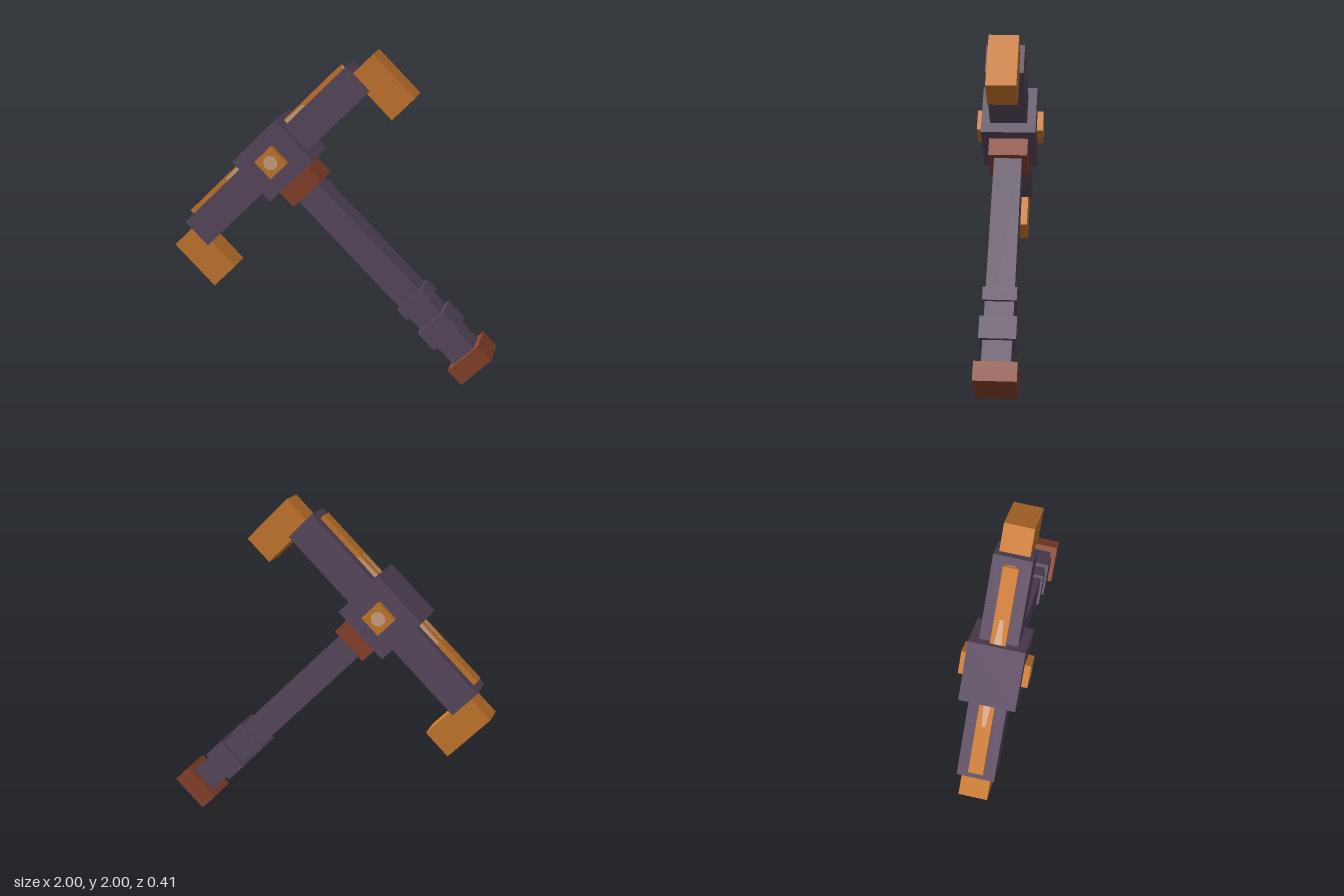
import * as THREE from 'three';

export function createModel() {
  const mat = (name, color) => {
    const m = new THREE.MeshStandardMaterial({ color });
    m.name = name;
    return m;
  };
  const purple = mat('dark purple metal', 0x5d4c62);
  const orange = mat('orange', 0xd07d2f);
  const rust = mat('rust red', 0x8d452e);
  const glow = mat('pale tan', 0xd8ab8c);

  // Hammer built upright around the head centre, then tilted 45 degrees
  const hammer = new THREE.Group();
  hammer.name = 'hammer';
  hammer.position.set(-0.342, 1.343, 0);
  hammer.rotation.z = Math.PI / 4;

  // Box given by its x range, y range and half depth
  const box = (name, material, x0, x1, y0, y1, halfZ) => {
    const mesh = new THREE.Mesh(new THREE.BoxGeometry(x1 - x0, y1 - y0, halfZ * 2), material);
    mesh.name = name;
    mesh.position.set((x0 + x1) / 2, (y0 + y1) / 2, 0);
    hammer.add(mesh);
  };

  // Thin eight-sided spot stretched to half width a and half height b
  const spot = (name, a, b, position, rotX = 0, rotY = 0) => {
    const geometry = new THREE.CircleGeometry(1 / Math.cos(Math.PI / 8), 8, Math.PI / 8);
    const mesh = new THREE.Mesh(geometry.scale(a, b, 1), glow);
    mesh.name = name;
    mesh.position.set(...position);
    mesh.rotation.set(rotX, rotY, 0);
    hammer.add(mesh);
  };

  // Head
  box('headBar', purple, -0.715, 0.715, -0.098, 0.103, 0.113);
  box('headBlock', purple, -0.19, 0.19, -0.166, 0.166, 0.167);
  box('topStrip', orange, -0.667, 0.667, 0.09, 0.134, 0.045);
  box('centreStud', orange, -0.071, 0.071, -0.071, 0.071, 0.205);
  box('leftTip', orange, 0.692, 0.884, -0.308, 0.046, 0.088);
  box('rightTip', orange, -0.884, -0.692, -0.308, 0.046, 0.088);

  // Pale spots on the stud and strip
  spot('stripTopSpot', 0.345, 0.026, [0, 0.1355, 0], -Math.PI / 2);
  for (const s of [1, -1]) {
    const turn = s > 0 ? 0 : Math.PI;
    spot('studSpot', 0.042, 0.042, [0, 0, s * 0.2065], 0, turn);
    spot('stripSideSpot', 0.345, 0.015, [0, 0.115, s * 0.0465], 0, turn);
    spot('stripEndSpot', 0.026, 0.013, [s * 0.6685, 0.113, 0], 0, s * Math.PI / 2);
  }

  // Handle
  box('collar', rust, -0.121, 0.121, -0.286, -0.16, 0.119);
  box('handle', purple, -0.085, 0.085, -1.66, -0.28, 0.085);
  box('upperRing', purple, -0.103, 0.103, -1.259, -1.174, 0.1);
  box('lowerRing', purple, -0.107, 0.107, -1.503, -1.361, 0.108);
  box('pommel', rust, -0.125, 0.125, -1.771, -1.651, 0.125);

  const model = new THREE.Group();
  model.name = 'model';
  model.add(hammer);
  return model;
}
